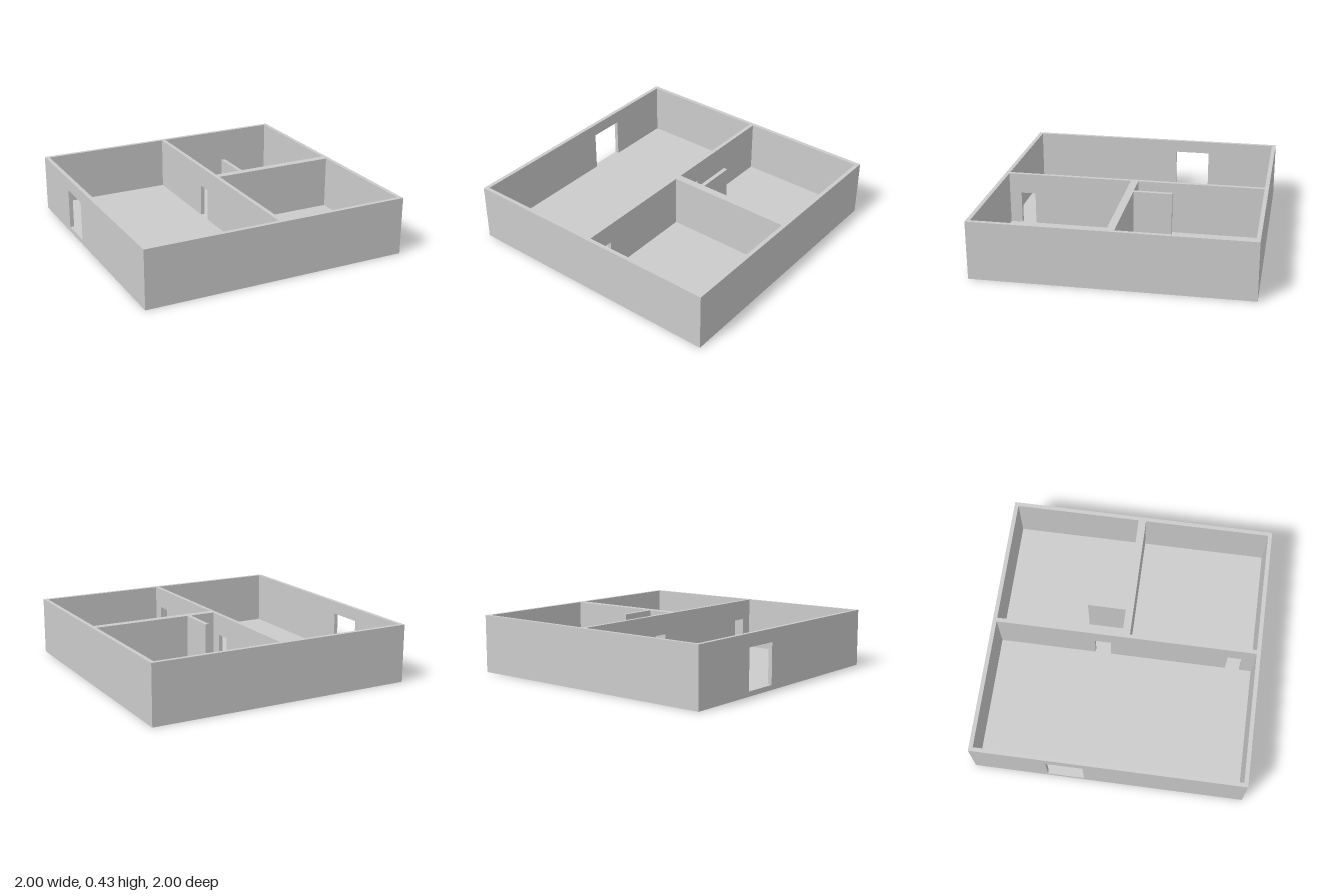
import * as THREE from 'three';

const FLOOR = 0.036, TOP = 0.43, T = 0.03;

export function createModel() {
  const house = new THREE.Group();
  house.name = 'floorPlanHouse';
  const material = new THREE.MeshStandardMaterial({ color: 0xcccccc, flatShading: true });

  const add = (name, geometry) => {
    const mesh = new THREE.Mesh(geometry, material);
    mesh.name = name;
    house.add(mesh);
  };

  // Plain block between two corners
  const block = (name, x0, x1, y0, y1, z0, z1) => add(name,
    new THREE.BoxGeometry(x1 - x0, y1 - y0, z1 - z0)
      .translate((x0 + x1) / 2, (y0 + y1) / 2, (z0 + z1) / 2));

  // Wall running along z, with doorways [zStart, zEnd, headHeight] cut up from the floor
  const doorWall = (name, x0, x1, z0, z1, doors) => {
    const shape = new THREE.Shape();
    shape.moveTo(z0, FLOOR);
    for (const [a, b, head] of doors) {
      shape.lineTo(a, FLOOR);
      shape.lineTo(a, head);
      shape.lineTo(b, head);
      shape.lineTo(b, FLOOR);
    }
    shape.lineTo(z1, FLOOR);
    shape.lineTo(z1, TOP);
    shape.lineTo(z0, TOP);
    shape.closePath();
    add(name, new THREE.ExtrudeGeometry(shape, { depth: x1 - x0, bevelEnabled: false })
      .rotateY(-Math.PI / 2).translate(x1, 0, 0));
  };

  block('floor', -1, 1, 0, FLOOR, -1, 1);

  // Outer walls
  block('frontWall', -1, 1, FLOOR, TOP, 1 - T, 1);
  block('backWall', -1, 1, FLOOR, TOP, -1, -1 + T);
  block('leftWall', 1 - T, 1, FLOOR, TOP, -1 + T, 1 - T);
  doorWall('entranceWall', -1, -1 + T, -1 + T, 1 - T, [[-0.45, -0.18, 0.335]]);

  // Inner walls
  doorWall('longPartition', 0, T, -1 + T, 1 - T,
    [[-0.235, -0.115, 0.278], [0.77, 0.88, 0.278]]);
  block('crossPartition', T, 1 - T, FLOOR, TOP, -T, 0.027);
  block('stubPartition', 0.22, 0.25, FLOOR, TOP, -0.315, -T);

  return house;
}
